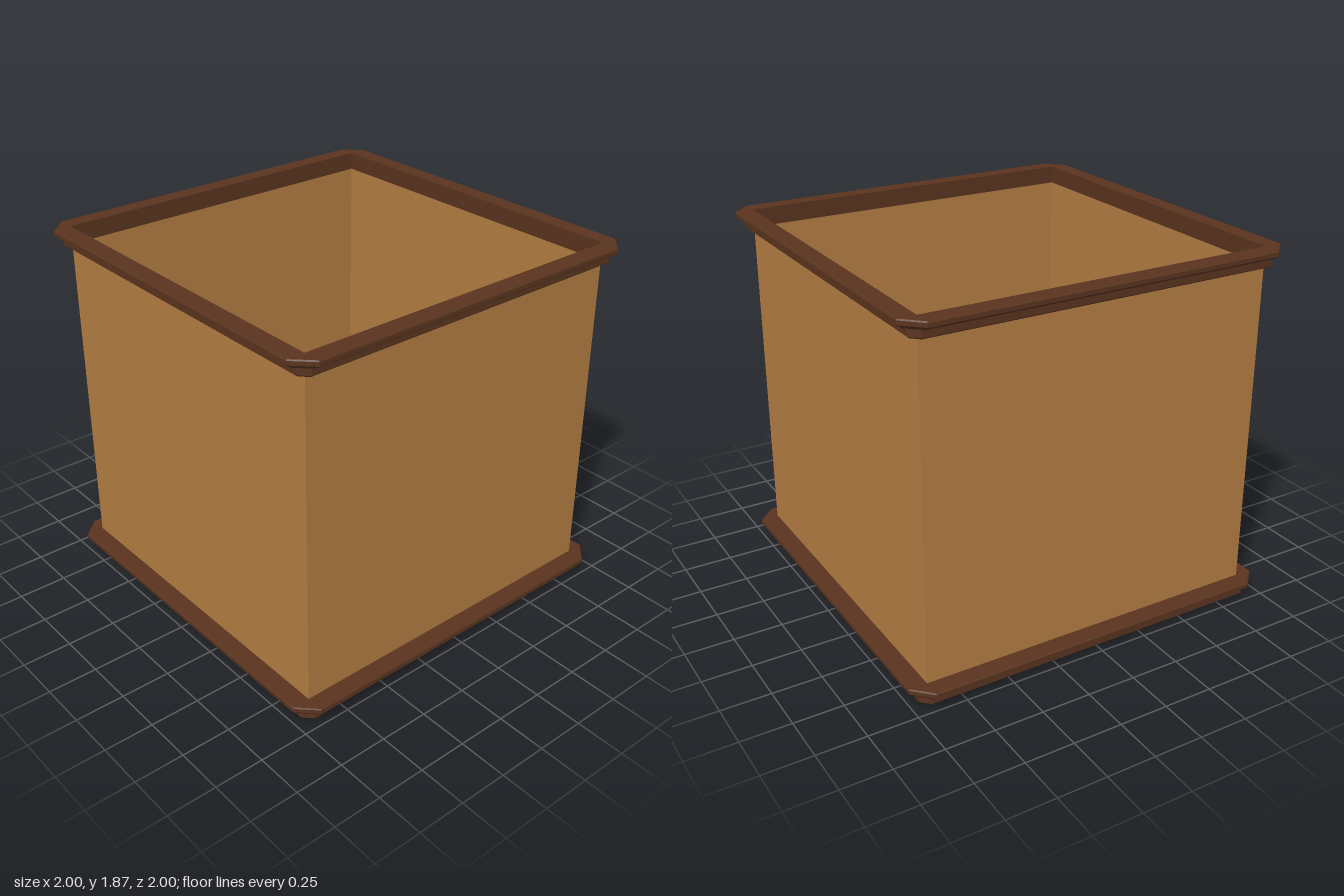
import * as THREE from 'three';

const WALL = 0.907;   // half width of the walls, also where the trim corners turn
const HEIGHT = 1.865;
const TRIM_H = 0.092;

// Outer moulding as [reach, height], from the bottom up
const MOULDING = [
  [0.945, 0], [0.953, 0.007], [0.953, 0.043], [0.948, 0.049],
  [0.977, 0.049], [1, 0.066], [1, 0.086], [0.994, TRIM_H],
];

// Square outline with cut corners at a given reach, running along the front first
function outline([reach, y]) {
  const c = Math.min(WALL, reach);
  const points = [];
  let pair = [[c, reach], [reach, c]];
  for (let i = 0; i < 4; i++) {
    pair.forEach(([x, z]) => points.push(new THREE.Vector3(x, y, z)));
    pair = pair.map(([x, z]) => [z, -x]);
  }
  return points;
}

// Sweep a profile around the square outline with flat faces
function sweep(profile) {
  const rings = profile.map(outline);
  const points = [];
  const addTriangle = (a, b, c) => {
    if (new THREE.Triangle(a, b, c).getArea() > 1e-8) points.push(a, b, c);
  };
  for (let i = 0; i < rings.length - 1; i++) {
    for (let j = 0; j < 8; j++) {
      const k = (j + 1) % 8;
      addTriangle(rings[i][j], rings[i][k], rings[i + 1][k]);
      addTriangle(rings[i][j], rings[i + 1][k], rings[i + 1][j]);
    }
  }
  const geometry = new THREE.BufferGeometry().setFromPoints(points);
  geometry.computeVertexNormals();
  return geometry;
}

export function createModel() {
  const group = new THREE.Group();
  const wallMaterial = new THREE.MeshStandardMaterial({
    color: 0xb27c42, flatShading: true, side: THREE.DoubleSide,
  });
  const trimMaterial = new THREE.MeshStandardMaterial({ color: 0x59331e, flatShading: true });
  const add = (name, geometry, material, y) => {
    const mesh = new THREE.Mesh(geometry, material);
    mesh.name = name;
    mesh.position.y = y;
    group.add(mesh);
  };

  // Solid base slab
  add('base', sweep([[0, 0], ...MOULDING, [0, TRIM_H]]), trimMaterial, 0);

  // Four thin walls, open at the top
  const wallHeight = HEIGHT - 2 * TRIM_H;
  const walls = new THREE.CylinderGeometry(
    WALL * Math.SQRT2, WALL * Math.SQRT2, wallHeight, 4, 1, true,
  ).rotateY(Math.PI / 4);
  add('walls', walls, wallMaterial, HEIGHT / 2);

  // Rim: the same moulding as a closed ring around the opening
  const rim = [[WALL, 0], ...MOULDING, [WALL, TRIM_H], [WALL, 0]];
  add('rim', sweep(rim), trimMaterial, HEIGHT - TRIM_H);

  return group;
}
